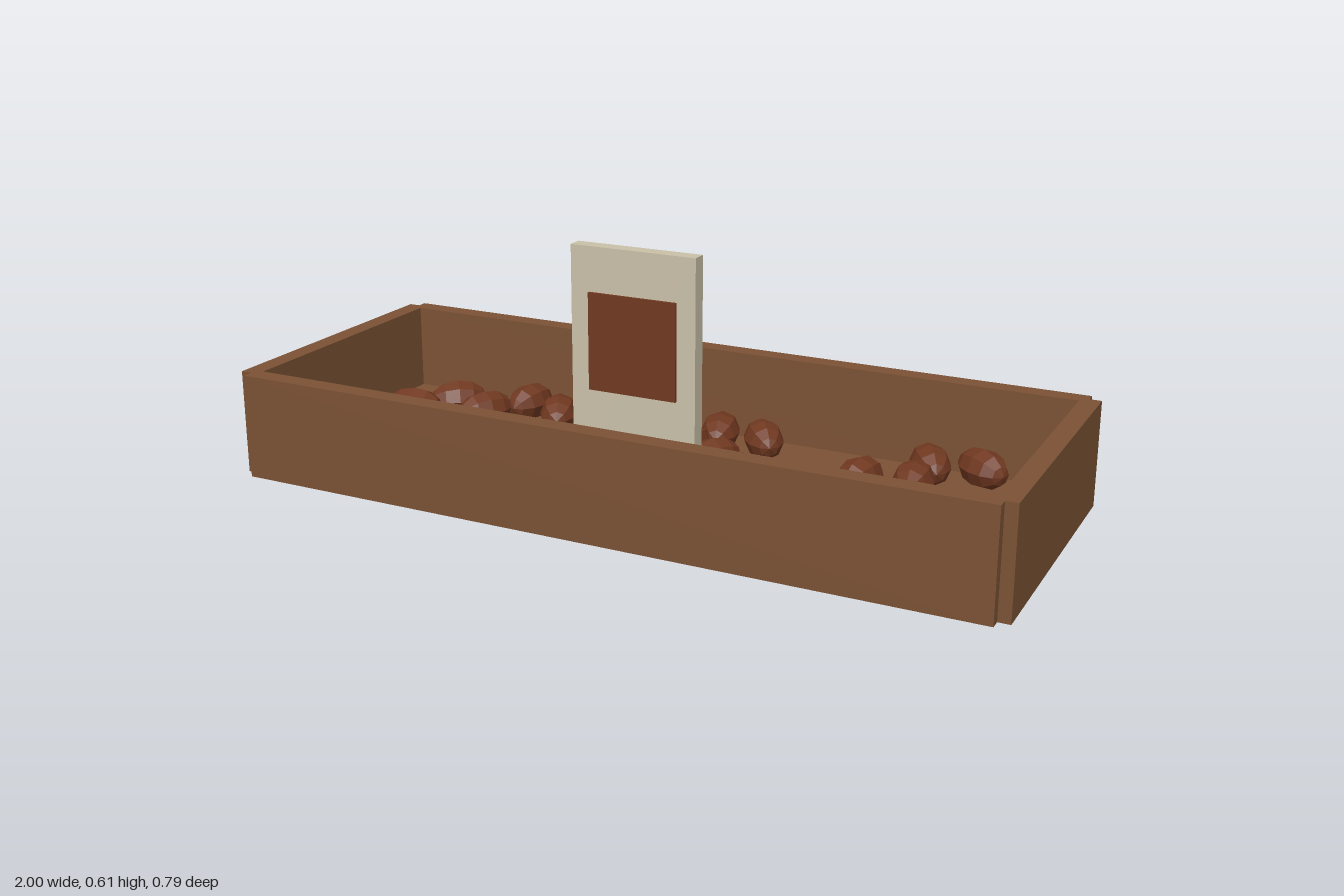
import * as THREE from 'three';

const mat = (name, color, flatShading = false) => {
  const m = new THREE.MeshStandardMaterial({ color, flatShading });
  m.name = name;
  return m;
};

export function createModel() {
  const group = new THREE.Group();
  const wood = mat('wood', 0x7a5134);
  const brown = mat('bean brown', 0x703820, true);
  const board = mat('sign cream', 0xc9c0a8);
  const pale = mat('pebble cream', 0xd8d4bc, true);

  const add = (name, geometry, material, x = 0, y = 0, z = 0) => {
    const mesh = new THREE.Mesh(geometry, material);
    mesh.name = name;
    mesh.position.set(x, y, z);
    group.add(mesh);
    return mesh;
  };

  // Tray walls: rectangle with notched corners and a rectangular opening
  const shape = new THREE.Shape([
    [-0.97, -0.397], [0.97, -0.397], [0.97, -0.37], [1, -0.37], [1, 0.37], [0.97, 0.37],
    [0.97, 0.397], [-0.97, 0.397], [-0.97, 0.37], [-1, 0.37], [-1, -0.37], [-0.97, -0.37],
  ].map(([x, y]) => new THREE.Vector2(x, y)));
  shape.holes.push(new THREE.Path([
    [-0.95, -0.347], [-0.95, 0.347], [0.95, 0.347], [0.95, -0.347],
  ].map(([x, y]) => new THREE.Vector2(x, y))));
  const walls = new THREE.ExtrudeGeometry(shape, { depth: 0.27, bevelEnabled: false });
  walls.rotateX(-Math.PI / 2);
  add('trayWalls', walls, wood);

  // Floor, raised a hair so the sign base shows underneath
  add('trayFloor', new THREE.BoxGeometry(1.9, 0.039, 0.694), wood, 0, 0.0205, 0);

  // Upright sign with a dark panel on its front
  add('signBoard', new THREE.BoxGeometry(0.34, 0.61, 0.04), board, -0.06, 0.305, 0.01);
  add('signPanel', new THREE.BoxGeometry(0.24, 0.25, 0.007), brown, -0.06, 0.37, 0.0335);

  // Beans: x, z and heading in degrees, in three heaps
  const heaps = [
    [[-0.71, -0.17, 40], [-0.78, -0.06, 12], [-0.515, -0.23, 85], [-0.59, -0.12, 60],
      [-0.395, -0.18, 115], [-0.79, 0.185, 0], [-0.69, 0.1, 20], [-0.485, 0.1, 65],
      [-0.59, 0.185, 40], [-0.39, 0.185, 90]],
    [[0.055, -0.24, 105], [0.18, -0.235, 125], [-0.115, -0.13, 50], [0.015, -0.12, 80],
      [0.12, -0.055, 60], [0.22, 0.025, 90], [-0.19, 0.02, 10], [0.21, 0.125, 115],
      [0.09, 0.085, 90], [0.015, 0.185, 65], [-0.1, 0.14, 35], [-0.18, 0.245, 15],
      [0, 0.035, -20], [-0.08, -0.05, 0]],
    [[0.62, -0.25, 120], [0.745, -0.28, 145], [0.495, -0.09, 80], [0.62, -0.12, 95],
      [0.49, 0.04, 60], [0.655, 0.06, 105], [0.785, 0.07, 135], [0.485, 0.175, 70],
      [0.615, 0.185, 85], [0.45, 0.295, 35]],
  ];
  const bean = new THREE.SphereGeometry(1, 8, 6);
  bean.rotateZ(Math.PI / 2);
  bean.scale(0.077, 0.05, 0.051);
  for (const heap of heaps) {
    for (const [x, z, deg] of heap) {
      add('bean', bean, brown, x, 0.085, z).rotation.y = THREE.MathUtils.degToRad(deg);
    }
  }

  // Small pale pebbles around the sign
  const pebble = new THREE.SphereGeometry(0.02, 6, 5);
  for (const [x, y, z] of [[-0.18, 0.1, -0.07], [-0.07, 0.1, -0.03], [-0.06, 0.1, 0.05], [0.145, 0.08, 0.035]]) {
    add('pebble', pebble, pale, x, y, z);
  }

  return group;
}
